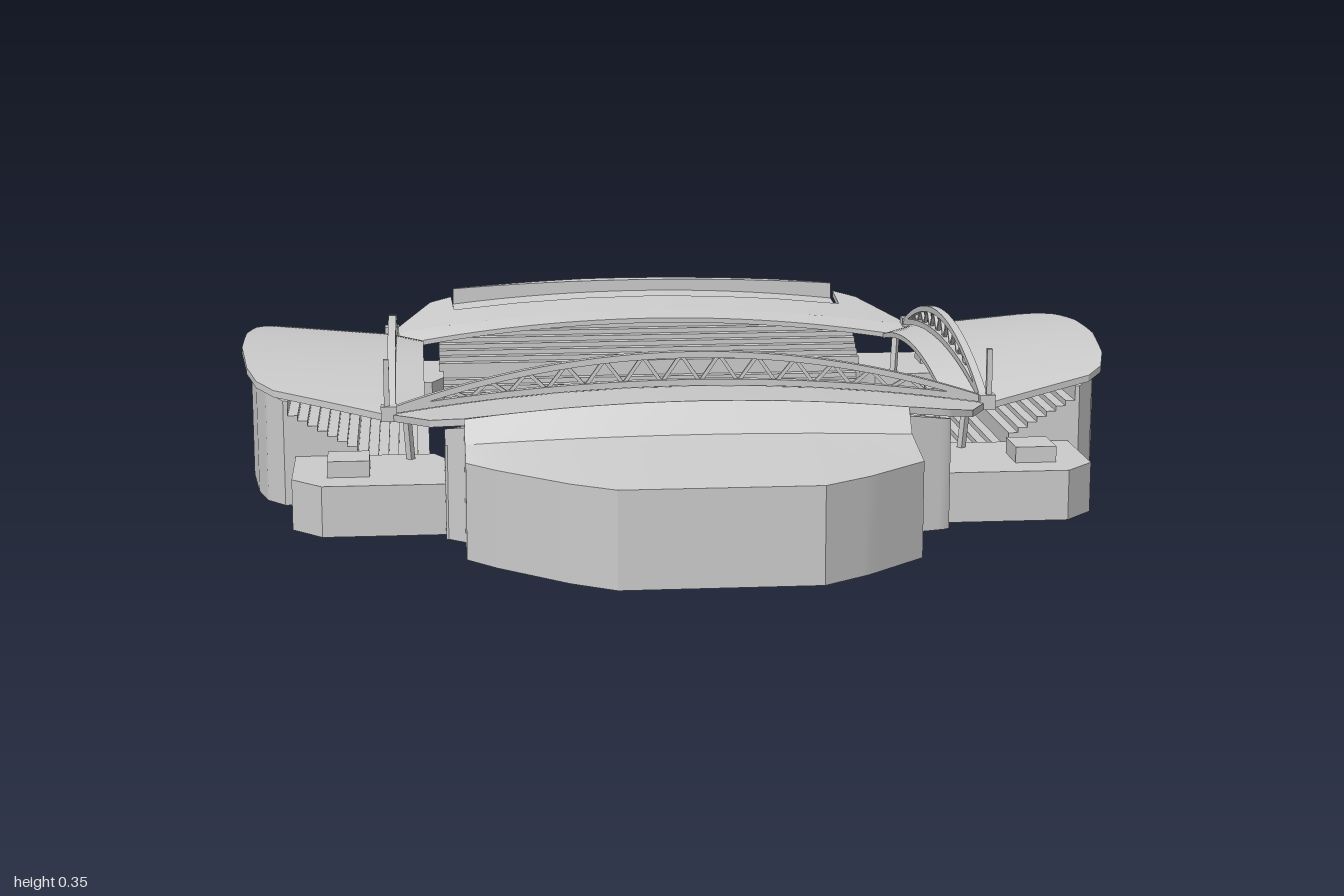
import * as THREE from 'three';
import { toCreasedNormals } from 'three/addons/utils/BufferGeometryUtils.js';

const mat = new THREE.MeshStandardMaterial({ color: 0xcccccc });

// Each side: s runs along the stand, d points outwards from the pitch
const sideOutline = [[-0.64, 0.67], [-0.565, 0.9], [-0.5, 0.955], [-0.4, 0.98], [-0.25, 0.995],
  [-0.07, 0.995], [0.1, 0.975], [0.19, 0.95], [0.24, 0.91], [0.33, 0.67]];
const SIDES = {
  right: { at: (s, y, d) => [d, y, s], mid: -0.155, half: 0.485, edge: 0.66, lip: 0.58, lipHalf: 0.415,
    slope: 0.09, rows: [0.575, 0.73, 0.88], ends: [-0.55, 0.24], outline: sideOutline, peak: 0.33 },
  left: { at: (s, y, d) => [-d, y, s], mid: -0.155, half: 0.485, edge: 0.66, lip: 0.58, lipHalf: 0.415,
    slope: 0.09, rows: [0.575, 0.73, 0.88], ends: [-0.55, 0.24], outline: sideOutline, peak: 0.33 },
  front: { at: (s, y, d) => [s, y, d], mid: 0, half: 0.65, edge: 0.33, lip: 0.25, lipHalf: 0.6,
    slope: 0.1, rows: [0.22, 0.4, 0.57], ends: [-0.54, 0.53], peak: 0.34,
    outline: [[-0.65, 0.34], [-0.57, 0.56], [-0.5, 0.62], [-0.43, 0.63], [0.43, 0.63], [0.52, 0.605], [0.58, 0.56], [0.65, 0.34]] },
  back: { at: (s, y, d) => [s, y, -d], mid: 0, half: 0.66, edge: 0.64, lip: 0.57, lipHalf: 0.6,
    slope: 0.08, rows: [0.54, 0.7, 0.87], ends: [-0.54, 0.54],
    outline: [[-0.66, 0.65], [-0.56, 0.9], [-0.505, 0.93], [-0.5, 0.79], [0.5, 0.79], [0.505, 0.93], [0.56, 0.89], [0.66, 0.65]],
    wall: [[-0.56, 0.9], [-0.5, 0.93], [-0.15, 0.96], [0.35, 0.95], [0.5, 0.93], [0.56, 0.89]] },
};
const bow = (k, s) => 1 - Math.min(1, Math.abs((s - k.mid) / k.half)) ** 2;
const roofY = (k, s, d) => 0.22 + 0.05 * bow(k, s) + k.slope * (d - k.edge);

function mesh(parent, name, geometry) {
  const m = new THREE.Mesh(geometry, mat);
  m.name = name;
  parent.add(m);
  return m;
}

// Closed solid through a row of cross-section rings, always facing outwards
function loft(rings) {
  const n = rings[0].length, tris = [];
  const tri = (a, b, c) => tris.push([a, b, c]);
  for (let i = 0; i + 1 < rings.length; i++) {
    for (let j = 0; j < n; j++) {
      const a = rings[i][j], b = rings[i][(j + 1) % n], c = rings[i + 1][(j + 1) % n], d = rings[i + 1][j];
      tri(a, b, c);
      tri(a, c, d);
    }
  }
  const first = rings[0], last = rings[rings.length - 1];
  for (let j = 1; j + 1 < n; j++) {
    tri(first[0], first[j + 1], first[j]);
    tri(last[0], last[j], last[j + 1]);
  }
  let volume = 0;
  for (const [a, b, c] of tris) {
    volume += a[0] * (b[1] * c[2] - b[2] * c[1]) + a[1] * (b[2] * c[0] - b[0] * c[2]) + a[2] * (b[0] * c[1] - b[1] * c[0]);
  }
  const pos = tris.flatMap(([a, b, c]) => (volume > 0 ? [a, b, c] : [a, c, b])).flat();
  const g = new THREE.BufferGeometry();
  g.setAttribute('position', new THREE.Float32BufferAttribute(pos, 3));
  return toCreasedNormals(g, 0.5);
}

// Extra stations between the points of an outline
function dense(points, n = 6) {
  const out = [points[0]];
  for (let i = 0; i + 1 < points.length; i++) {
    const [a, b] = [points[i], points[i + 1]];
    for (let j = 1; j <= n; j++) out.push([a[0] + (b[0] - a[0]) * j / n, a[1] + (b[1] - a[1]) * j / n]);
  }
  return out;
}
function depthAt(points, s) {
  const i = Math.max(1, points.findIndex((p) => p[0] >= s));
  const [a, b] = [points[i - 1], points[i]];
  return a[1] + (b[1] - a[1]) * (s - a[0]) / (b[0] - a[0]);
}

function box(parent, name, x0, x1, y0, y1, z0, z1) {
  const m = mesh(parent, name, new THREE.BoxGeometry(Math.abs(x1 - x0), y1 - y0, Math.abs(z1 - z0)));
  m.position.set((x0 + x1) / 2, (y0 + y1) / 2, (z0 + z1) / 2);
}
function bar(parent, name, a, b, w) {
  const p = new THREE.Vector3(...a), q = new THREE.Vector3(...b);
  const m = mesh(parent, name, new THREE.BoxGeometry(w, w, p.distanceTo(q)));
  m.position.copy(p).add(q).multiplyScalar(0.5);
  m.lookAt(q);
}
// Flat plan outline raised to a height
function prism(parent, name, plan, y1) {
  mesh(parent, name, loft([0, y1].map((y) => plan.map(([x, z]) => [x, y, z]))));
}

function stand(name, k) {
  const g = new THREE.Group();
  g.name = name + 'Stand';
  const steps = Array.from({ length: 33 }, (_, i) => i / 16 - 1);

  // seating in two stepped tiers
  const N = 7;
  for (let t = 0; t < 2; t++) {
    for (let i = 0; i < N; i++) {
      const w = (k.rows[t + 1] - k.rows[t]) / N, d = k.rows[t] + i * w;
      const y = t ? 0.13 + i * 0.012 : 0.02 + i * 0.012;
      const a = k.at(k.ends[0], 0, d), b = k.at(k.ends[1], y, d + w);
      box(g, t ? 'upperSeatRow' : 'lowerSeatRow', a[0], b[0], 0, y, a[2], b[2]);
    }
  }

  // outer wall just under the roof
  const outline = k.wall || k.outline, [s0, s1] = k.ends;
  const stations = [s0, ...dense(outline).map((p) => p[0]).filter((s) => s > s0 + 0.001 && s < s1 - 0.001), s1];
  mesh(g, 'outerWall', loft(stations.map((s) => {
    const d = depthAt(outline, s) - 0.02, y = roofY(k, s, d) - 0.022 - (k.wall ? 0.02 : 0), i = k.rows[2];
    return [k.at(s, 0, i), k.at(s, 0, d), k.at(s, y, d), k.at(s, roofY(k, s, i) - (k.wall ? 0.042 : 0.022), i)];
  })));

  // bowed roof slab and the lip inside the truss line
  mesh(g, 'roof', loft(dense(k.outline).map(([s, d]) => {
    const yi = roofY(k, s, k.edge), yo = roofY(k, s, d);
    return [k.at(s, yi, k.edge), k.at(s, yo, d), k.at(s, yo - 0.015, d), k.at(s, yi - 0.015, k.edge)];
  })));
  mesh(g, 'roofLip', loft(steps.map((u) => {
    const so = k.mid + u * k.half, si = k.mid + u * k.lipHalf, y = roofY(k, so, k.edge);
    return [k.at(so, y, k.edge), k.at(si, y - 0.008, k.lip), k.at(si, y - 0.02, k.lip), k.at(so, y - 0.015, k.edge)];
  })));

  // arched truss: two chords and zigzag bracing
  if (k.peak) {
    const low = (s) => roofY(k, s, k.edge) + 0.008;
    const high = (s) => 0.228 + (k.peak - 0.228) * bow(k, s);
    for (const [label, f] of [['topChord', high], ['bottomChord', low]]) {
      mesh(g, label, loft(steps.map((u) => {
        const s = k.mid + u * k.half;
        return [[-0.009, -0.007], [0.009, -0.007], [0.009, 0.007], [-0.009, 0.007]].map(([d, y]) => k.at(s, f(s) + y, k.edge - 0.008 + d));
      })));
    }
    const count = Math.round(k.half * 2 / 0.042);
    const node = (i) => {
      const s = k.mid + k.half * (i / count * 2 - 1);
      return k.at(s, (i % 2 ? high : low)(s), k.edge - 0.008);
    };
    for (let i = 2; i < count - 2; i++) bar(g, 'brace', node(i), node(i + 1), 0.008);
  }
  return g;
}

export function createModel() {
  const model = new THREE.Group();
  model.name = 'stadium';
  for (const name in SIDES) model.add(stand(name, SIDES[name]));

  // base frame around the open pitch
  for (const x of [-1, 1]) box(model, 'baseSide', x * 0.57, x * 0.66, 0, 0.02, -0.62, 0.3);
  box(model, 'baseFront', -0.6, 0.6, 0, 0.02, 0.225, 0.3);
  box(model, 'baseBack', -0.6, 0.6, 0, 0.02, -0.62, -0.545);

  // front annex with its sloping top and glazed step up to the roof
  const annex = [[-0.5, 0.74], [-0.44, 0.81], [-0.3, 0.94], [-0.21, 1], [0.2, 1], [0.3, 0.93], [0.43, 0.81]];
  mesh(model, 'frontAnnex', loft(dense(annex).map(([x, z]) => {
    const b = bow(SIDES.front, x), top = roofY(SIDES.front, x, 0.63);
    return [[x, 0, 0.59], [x, 0, z], [x, 0.203, z], [x, 0.217 + 0.02 * b, 0.67], [x, top, 0.63], [x, top - 0.012, 0.59]];
  })));

  // recessed panel, parapet and fins at the back
  const k = SIDES.back;
  mesh(model, 'backRoofPanel', loft(dense([[-0.5, 0.94], [0.5, 0.94]], 16).map(([s, d]) => {
    const a = roofY(k, s, 0.78) - 0.02, b = roofY(k, s, d) - 0.02;
    return [k.at(s, a, 0.78), k.at(s, b, d), k.at(s, b - 0.015, d), k.at(s, a - 0.015, 0.78)];
  })));
  mesh(model, 'backParapet', loft(dense([[-0.5, 0.935], [-0.15, 0.967], [0.35, 0.955], [0.5, 0.935]]).map(([s, d]) => {
    const y = 0.272 + 0.03 * bow(k, s);
    return [k.at(s, y, 0.928), k.at(s, y, d), k.at(s, y - 0.05, d), k.at(s, y - 0.05, 0.928)];
  })));
  const fin = [[0.9, 0], [1, 0], [1, 0.14], [0.94, 0.2], [0.9, 0.2]];
  for (const x of [-0.375, 0.365]) {
    mesh(model, 'backFin', loft([x - 0.022, x + 0.022].map((fx) => fin.map(([d, y]) => [fx, y, -d]))));
  }

  // corner buildings, plant boxes, posts and masts
  for (const m of [-1, 1]) {
    prism(model, 'frontCorner', [[0.56, 0.24], [0.865, 0.24], [0.865, 0.46], [0.8, 0.53], [0.53, 0.53], [0.53, 0.3]].map(([x, z]) => [m * x, z]), 0.11);
    prism(model, 'backCorner', [[0.56, -0.56], [0.865, -0.56], [0.865, -0.8], [0.81, -0.85], [0.53, -0.85], [0.53, -0.62]].map(([x, z]) => [m * x, z]), 0.11);
    box(model, 'frontPlantBox', m * 0.7, m * 0.79, 0.11, 0.145, 0.35, 0.45);
    box(model, 'backPlantBox', m * 0.7, m * 0.8, 0.11, 0.175, -0.77, -0.69);
    bar(model, 'frontPost', [m * 0.605, 0, 0.275], [m * 0.62, 0.215, 0.295], 0.014);
    bar(model, 'backPost', [m * 0.605, 0, -0.585], [m * 0.62, 0.215, -0.605], 0.014);
    bar(model, 'mast', [m * 0.662, 0.21, 0.333], [m * 0.662, 0.342, 0.333], 0.012);
    box(model, 'frontTrussSeat', m * 0.64, m * 0.675, 0.207, 0.24, 0.313, 0.347);
    box(model, 'backTrussSeat', m * 0.64, m * 0.675, 0.207, 0.24, -0.66, -0.625);
  }
  return model;
}
